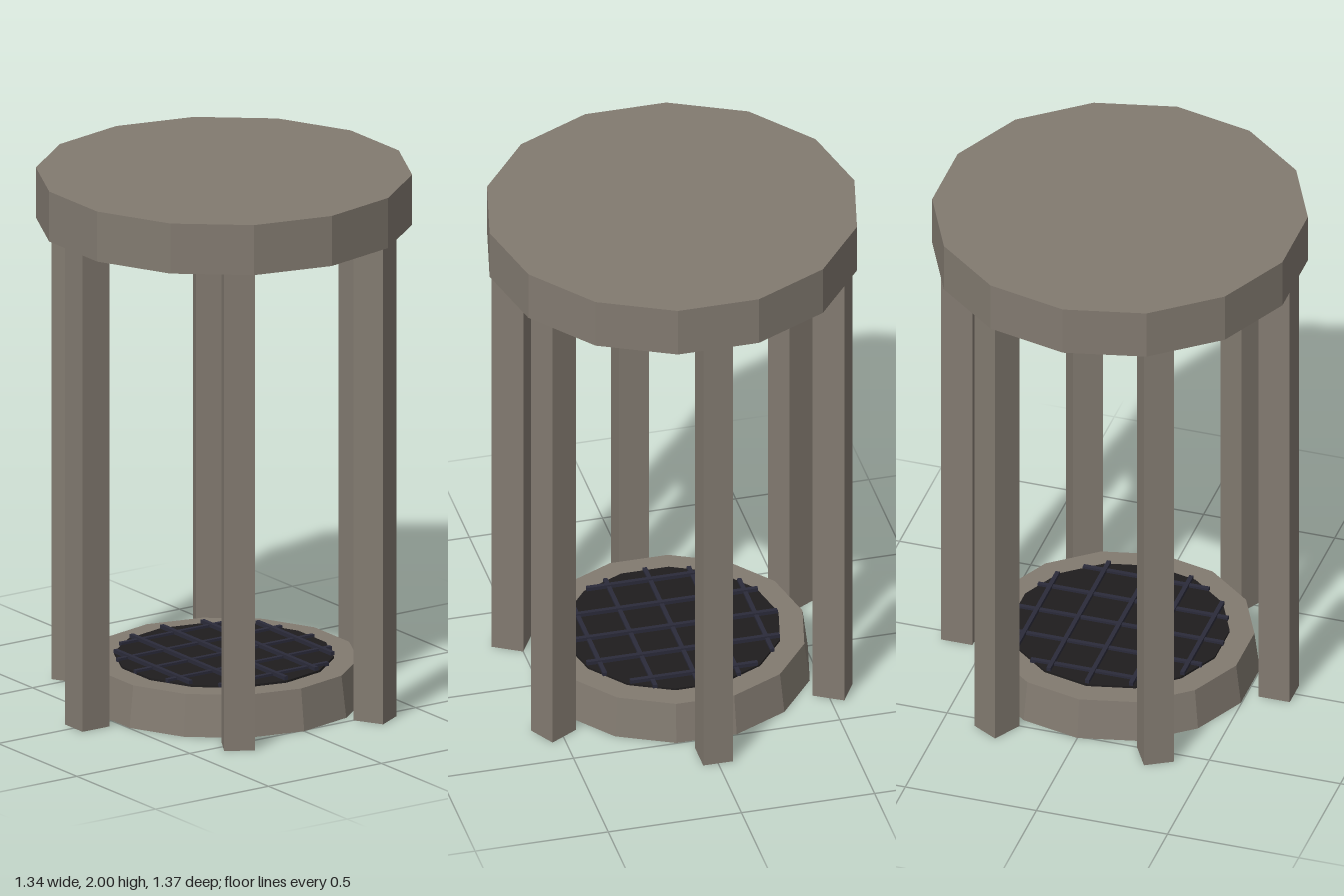
import * as THREE from 'three';

const stone = new THREE.MeshStandardMaterial({ color: 0x827a70, flatShading: true });
stone.name = 'stone';
const coal = new THREE.MeshStandardMaterial({ color: 0x1f1d1e, flatShading: true });
coal.name = 'coal';
const iron = new THREE.MeshStandardMaterial({ color: 0x2b2b3a, flatShading: true });
iron.name = 'iron';

const SIDES = 14;

export function createModel() {
  const model = new THREE.Group();
  model.name = 'stonePavilion';

  const add = (parent, name, geometry, material, x, y, z) => {
    const mesh = new THREE.Mesh(geometry, material);
    mesh.name = name;
    mesh.position.set(x, y, z);
    parent.add(mesh);
    return mesh;
  };

  // Fourteen-sided slabs: roof, tapered base and the dark pit cover
  add(model, 'roofSlab', new THREE.CylinderGeometry(0.685, 0.685, 0.19, SIDES), stone, 0, 1.905, 0);
  add(model, 'base', new THREE.CylinderGeometry(0.49, 0.51, 0.157, SIDES), stone, 0, 0.0785, 0);
  add(model, 'coalBed', new THREE.CylinderGeometry(0.4, 0.4, 0.012, SIDES), coal, 0, 0.159, 0);

  // Six pillars, each turned to face the centre
  const pillars = new THREE.Group();
  pillars.name = 'pillars';
  model.add(pillars);
  const pillarGeometry = new THREE.BoxGeometry(0.12, 1.815, 0.112);
  for (let i = 0; i < 6; i++) {
    const a = (i * Math.PI) / 3;
    const pillar = add(pillars, 'pillar', pillarGeometry, stone, 0.605 * Math.cos(a), 0.9075, 0.605 * Math.sin(a));
    pillar.rotation.y = -a;
  }

  // Crossed grate bars, cut to the round outline
  const grate = new THREE.Group();
  grate.name = 'grate';
  model.add(grate);
  for (let i = -2; i <= 2; i++) {
    const d = i * 0.157;
    const length = 2 * Math.sqrt(0.395 ** 2 - d ** 2);
    add(grate, 'crossBar', new THREE.BoxGeometry(length, 0.014, 0.016), iron, 0, 0.167, d);
    add(grate, 'longBar', new THREE.BoxGeometry(0.016, 0.014, length), iron, d, 0.173, 0);
  }

  return model;
}
